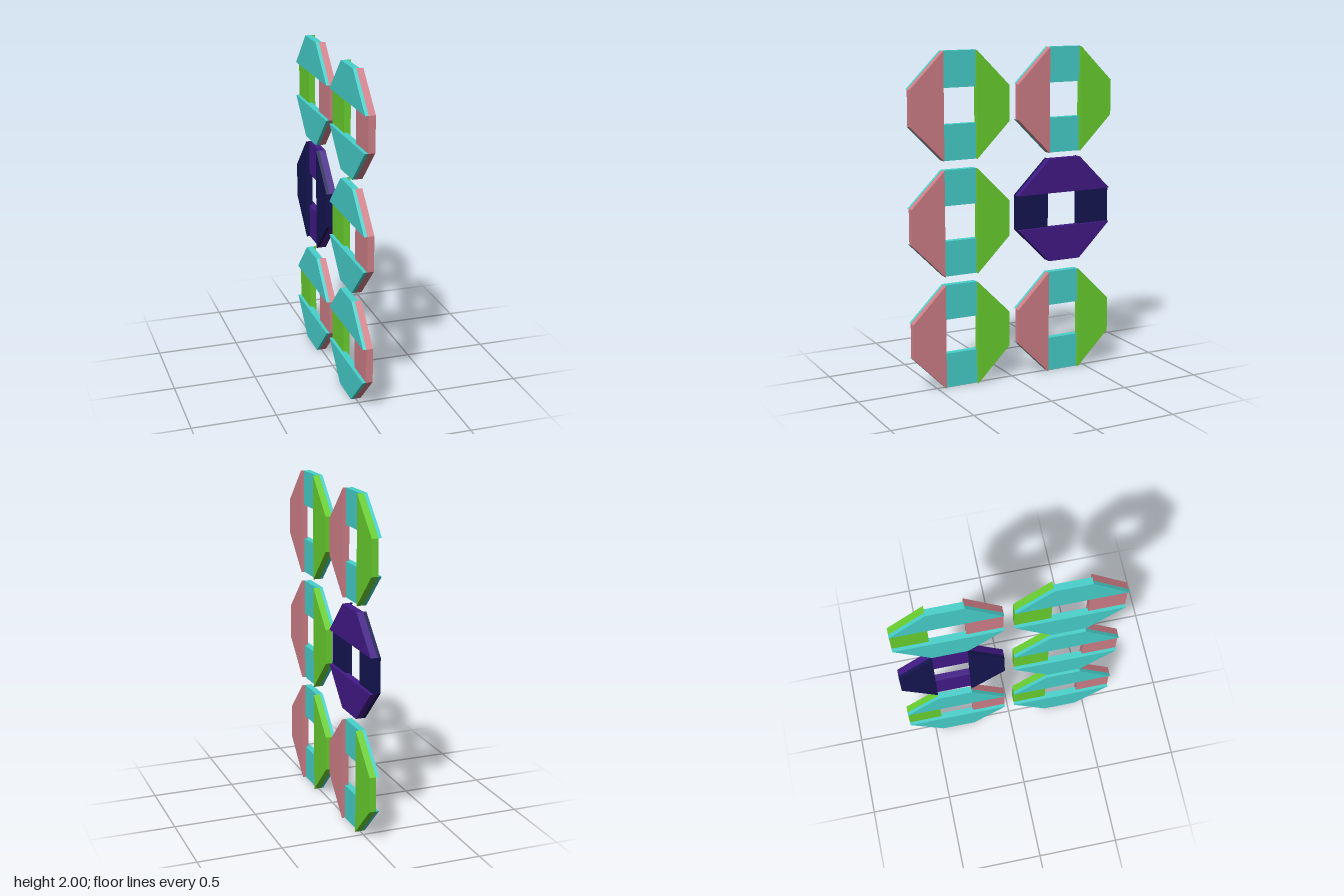
import * as THREE from 'three';

const INNER = 0.105, OUTER = 0.315; // half size of the hole and of the whole ring

const material = (color) => new THREE.MeshStandardMaterial({ color, flatShading: true });
const pink = material(0xd08088), green = material(0x6ad030), teal = material(0x48d1cc);
const purple = material(0x421a88), navy = material(0x151552);

// Prism with its outline in the zy plane, turned by angle and spanning x0 to x1
function slab(name, points, angle, x0, x1, mat) {
  const shape = new THREE.Shape(points.map(([a, b]) => new THREE.Vector2(a, b)));
  const geometry = new THREE.ExtrudeGeometry(shape, { depth: x1 - x0, bevelEnabled: false });
  geometry.translate(0, 0, x0).rotateZ(angle).rotateY(Math.PI / 2);
  const mesh = new THREE.Mesh(geometry, mat);
  mesh.name = name;
  return mesh;
}

const trapezoid = [[-OUTER, INNER], [OUTER, INNER], [INNER, OUTER], [-INNER, OUTER]];
const square = [[-INNER, INNER], [INNER, INNER], [INNER, OUTER], [-INNER, OUTER]];

// Octagonal ring: two outer bars lapped over two inner bars set at right angles
function ring(name, turn, firstMat, secondMat, backMat) {
  const group = new THREE.Group();
  group.name = name;
  const quarter = Math.PI / 2;
  [[1, firstMat], [-1, secondMat]].forEach(([side, mat]) => {
    // bar on the +x side
    group.add(slab('outerBar', trapezoid, turn + side * quarter, -0.01, 0.03, mat));
    // bar on the -x side: thin at its lapped ends, full thickness in the middle
    const angle = turn + (side > 0 ? 0 : Math.PI);
    const bar = new THREE.Group();
    bar.name = 'innerBar';
    bar.add(slab('lapPlate', trapezoid, angle, -0.03, -0.01, backMat));
    bar.add(slab('middleBlock', square, angle, -0.01, 0.01, backMat));
    group.add(bar);
  });
  return group;
}

export function createModel() {
  const model = new THREE.Group();
  model.name = 'octagonRings';
  const rows = [['lower', 0.317], ['middle', 1.0], ['upper', 1.685]];
  for (const [row, y] of rows) {
    for (const side of [1, -1]) {
      const odd = row === 'middle' && side < 0; // the dark ring is turned a quarter
      const name = row + (side > 0 ? 'FrontRing' : 'BackRing');
      const unit = odd
        ? ring(name, Math.PI / 2, purple, purple, navy)
        : ring(name, 0, pink, green, teal);
      unit.position.set(0, odd ? 1.02 : y, side * 0.345);
      model.add(unit);
    }
  }
  return model;
}
